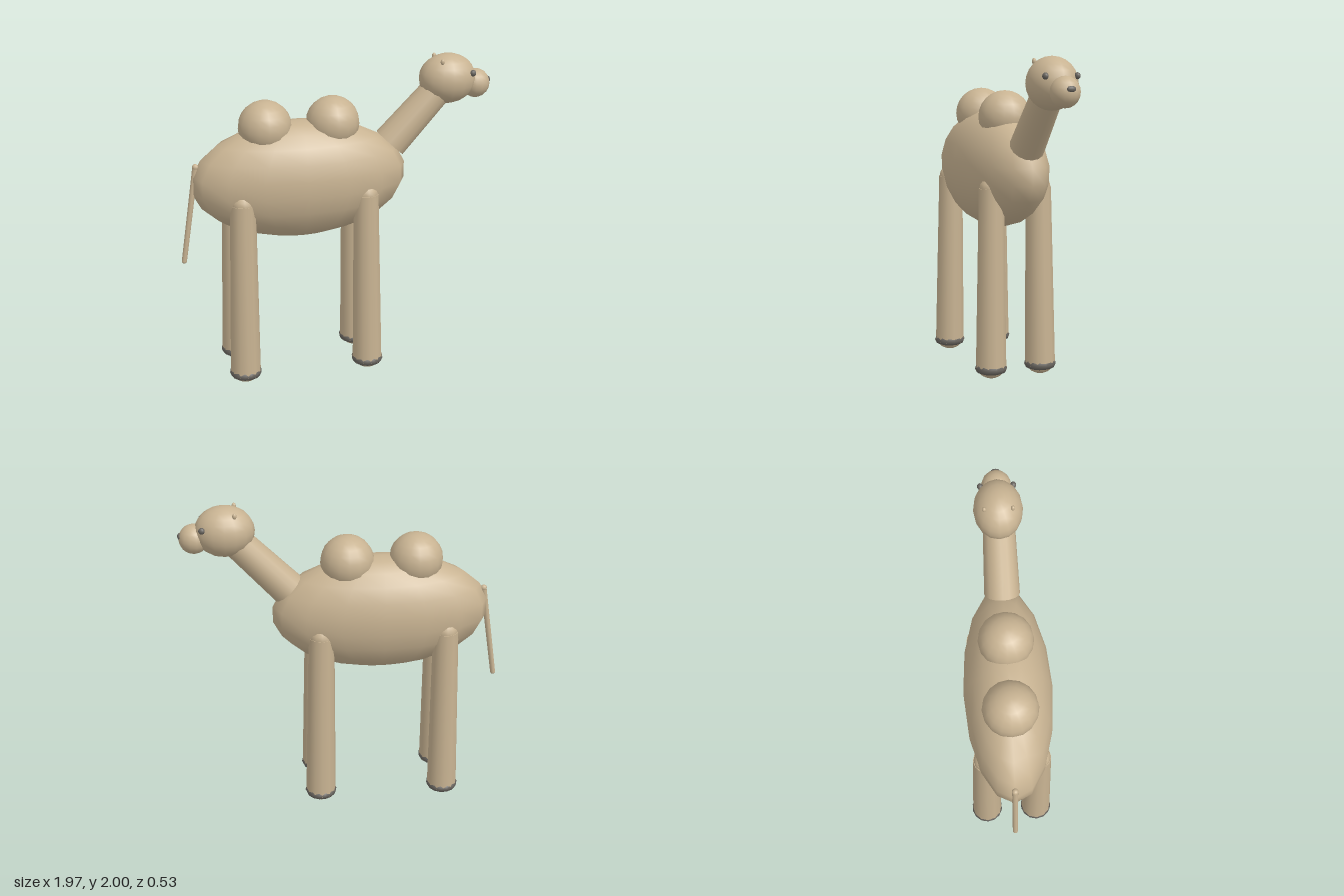
import * as THREE from 'three';

export function createModel() {
  const group = new THREE.Group();
  const fur = new THREE.MeshStandardMaterial({ color: 0xc8b392 });
  fur.name = 'tan fur';
  const dark = new THREE.MeshStandardMaterial({ color: 0x69655f });
  dark.name = 'dark grey';

  function add(name, geometry, material, x = 0, y = 0, z = 0) {
    const mesh = new THREE.Mesh(geometry, material);
    mesh.name = name;
    mesh.position.set(x, y, z);
    group.add(mesh);
    return mesh;
  }

  // Sphere stretched to the given radii
  function ellipsoid(name, material, [x, y, z], [rx, ry, rz], w = 16, h = 11) {
    return add(name, new THREE.SphereGeometry(1, w, h).scale(rx, ry, rz), material, x, y, z);
  }

  // Tapered rod between two points
  function rod(name, from, to, rFrom, rTo, sides) {
    const a = new THREE.Vector3(...from), b = new THREE.Vector3(...to);
    const dir = b.clone().sub(a);
    const mid = a.clone().add(b).multiplyScalar(0.5);
    const mesh = add(name, new THREE.CylinderGeometry(rTo, rFrom, dir.length(), sides), fur, mid.x, mid.y, mid.z);
    mesh.quaternion.setFromUnitVectors(new THREE.Vector3(0, 1, 0), dir.normalize());
    return mesh;
  }

  // Body and humps
  ellipsoid('body', fur, [-0.235, 1.277, 0], [0.675, 0.37, 0.27]);
  ellipsoid('rearHump', fur, [-0.447, 1.615, 0], [0.165, 0.165, 0.165], 16, 12);
  ellipsoid('frontHump', fur, [-0.027, 1.615, 0], [0.165, 0.165, 0.165], 16, 12);

  // Neck and head
  rod('neck', [0.338, 1.455, 0], [0.66, 1.80, 0], 0.108, 0.094, 16);
  ellipsoid('head', fur, [0.702, 1.845, 0], [0.18, 0.155, 0.146], 16, 12);
  ellipsoid('snout', fur, [0.885, 1.803, 0], [0.09, 0.09, 0.088], 14, 10);
  ellipsoid('nose', dark, [0.967, 1.822, 0], [0.014, 0.018, 0.028], 10, 8);

  for (const s of [1, -1]) {
    const side = s > 0 ? 'right' : 'left';
    ellipsoid(side + 'Eye', dark, [0.833, 1.89, s * 0.097], [0.02, 0.02, 0.018], 10, 8);
    ellipsoid(side + 'Ear', fur, [0.64, 1.968, s * 0.083], [0.013, 0.019, 0.013], 10, 8);

    // Legs lean slightly outward and end in a rounded sole inside a dark hoof ring
    for (const [place, topX, footX] of [['front', 0.146, 0.16], ['rear', -0.62, -0.635]]) {
      const name = place + side[0].toUpperCase() + side.slice(1);
      rod(name + 'Leg', [footX, 0.06, s * 0.165], [topX, 1.19, s * 0.155], 0.096, 0.079, 12);
      ellipsoid(name + 'Shoulder', fur, [topX, 1.19, s * 0.155], [0.076, 0.076, 0.076], 12, 8);
      ellipsoid(name + 'Sole', fur, [footX, 0.06, s * 0.165], [0.08, 0.055, 0.08], 12, 8);
      const hoof = new THREE.TorusGeometry(0.068, 0.033, 8, 14).rotateX(Math.PI / 2);
      add(name + 'Hoof', hoof, dark, footX, 0.07, s * 0.165);
    }
  }

  // Tail with rounded ends
  rod('tail', [-0.97, 0.79, 0], [-0.877, 1.395, 0], 0.016, 0.018, 10);
  ellipsoid('tailRoot', fur, [-0.877, 1.395, 0], [0.02, 0.02, 0.02], 10, 8);
  ellipsoid('tailTip', fur, [-0.97, 0.79, 0], [0.016, 0.014, 0.016], 10, 8);

  return group;
}
